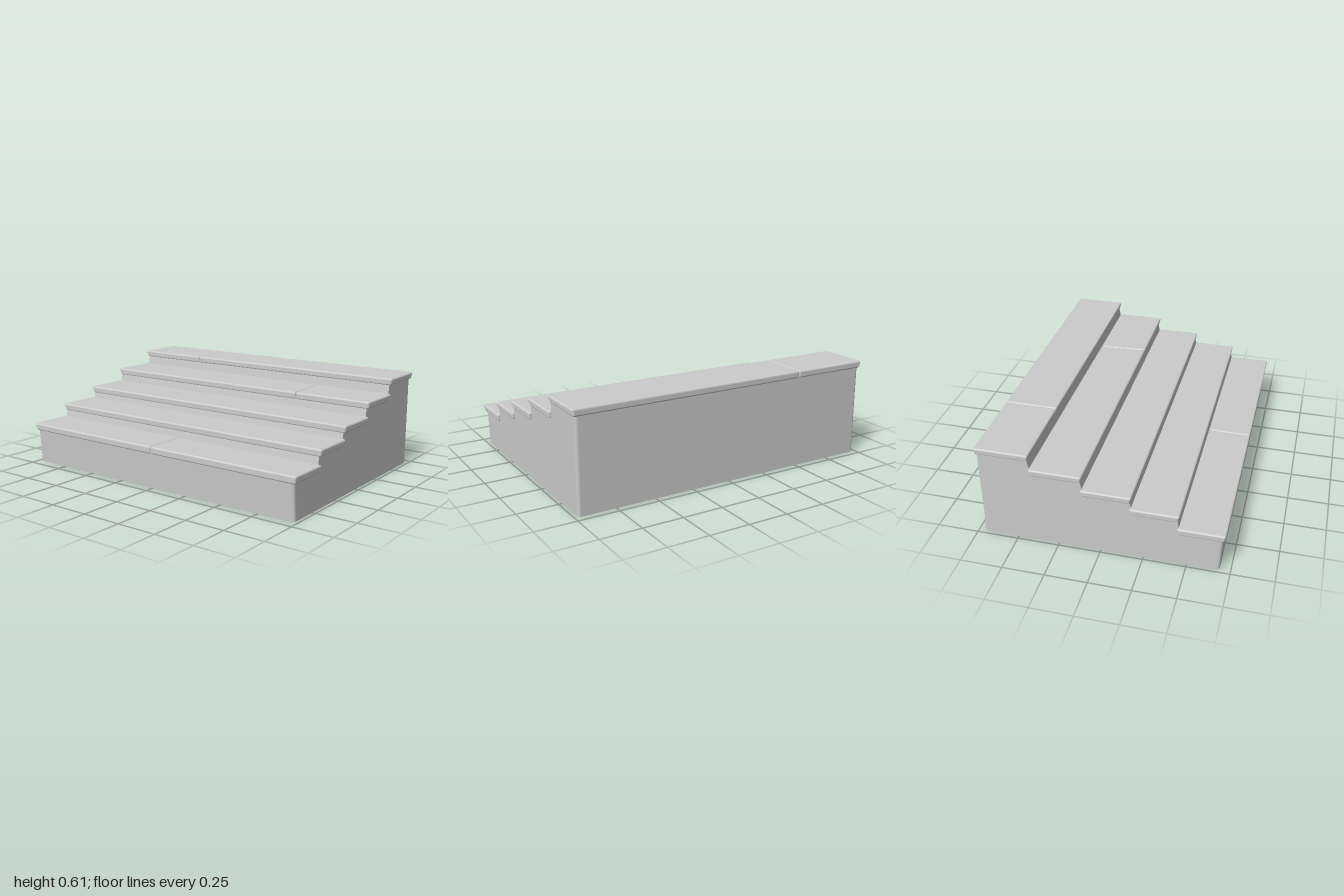
import * as THREE from 'three';
import { RoundedBoxGeometry } from 'three/addons/geometries/RoundedBoxGeometry.js';

// Treads: x range, y range, z positions of joints between planks, joint skew
const TREADS = [
  { x: [-0.715, -0.44], y: [0.21, 0.26], joints: [0], skew: 0 },
  { x: [-0.455, -0.17], y: [0.298, 0.346], joints: [], skew: 0 },
  { x: [-0.185, 0.11], y: [0.375, 0.423], joints: [], skew: 0 },
  { x: [0.095, 0.405], y: [0.464, 0.512], joints: [0.485], skew: 0.02 },
  { x: [0.395, 0.715], y: [0.56, 0.606], joints: [-0.5], skew: 0 },
];
const HALF = 0.98; // half length of the base
const R = 0.02; // radius of its upright corners
const TAPER = 0.011; // inset of the tread undersides

const material = new THREE.MeshStandardMaterial({ color: 0xcccccc });
const shellMaterial = new THREE.MeshStandardMaterial({ color: 0xcccccc, side: THREE.DoubleSide });

// Height of the wall top, hidden inside each tread
const wallTop = (i) => (TREADS[i].y[0] + TREADS[i].y[1]) / 2;

// Plank with rounded edges, narrowing downwards on its free edges
function plank(tread, z0, z1) {
  const w = tread.x[1] - tread.x[0];
  const h = tread.y[1] - tread.y[0];
  const cz = (z0 + z1) / 2;
  const geometry = new RoundedBoxGeometry(w, h, z1 - z0, 3, 0.012);
  const p = geometry.attributes.position;
  const last = tread === TREADS[TREADS.length - 1];
  for (let i = 0; i < p.count; i++) {
    const x = p.getX(i), y = p.getY(i), z = p.getZ(i);
    const inset = TAPER * (0.5 - y / h);
    if (!(last && x > 0)) p.setX(i, x - Math.sign(x) * inset);
    const atEnd = Math.abs(cz + Math.sign(z) * (z1 - z0) / 2) > 0.9;
    p.setZ(i, atEnd ? z - Math.sign(z) * inset : z - tread.skew * x / w);
  }
  const mesh = new THREE.Mesh(geometry, material);
  mesh.position.set((tread.x[0] + tread.x[1]) / 2, (tread.y[0] + tread.y[1]) / 2, cz);
  mesh.name = 'treadPlank';
  return mesh;
}

// Indexed surface from a list of [bottom, top] columns
function ribbon(columns, closed) {
  const n = columns.length;
  const index = [];
  for (let i = 0; i < (closed ? n : n - 1); i++) {
    const a = 2 * i, b = 2 * ((i + 1) % n);
    index.push(a, b, a + 1, b, b + 1, a + 1);
  }
  const geometry = new THREE.BufferGeometry();
  geometry.setAttribute('position', new THREE.Float32BufferAttribute(columns.flat(2), 3));
  geometry.setIndex(index);
  geometry.computeVertexNormals();
  return geometry;
}

// Hollow base: outer walls follow the stairs, open below
function baseWalls() {
  const half = [];
  const add = (xb, xt, z, h) => half.push([[xb, 0, z], [xt, h, z]]);
  const steps = 5;
  for (let i = 0; i <= steps; i++) {
    const a = (i / steps) * Math.PI / 2;
    const x = -0.668 - R * Math.cos(a);
    add(x, x - 0.014, HALF - R + R * Math.sin(a), wallTop(0));
  }
  for (let i = 1; i < TREADS.length; i++) {
    const x = TREADS[i].x[0];
    add(x + 0.005, x + 0.001, HALF, wallTop(i - 1));
    add(x + 0.005, x + 0.016, HALF, wallTop(i));
  }
  for (let i = 0; i <= steps; i++) {
    const a = (i / steps) * Math.PI / 2;
    const x = 0.71 - R + R * Math.sin(a);
    add(x, x, HALF - R + R * Math.cos(a), wallTop(4));
  }
  const mirrored = half.map((c) => c.map(([x, y, z]) => [x, y, -z])).reverse();
  return ribbon([...half, ...mirrored], true);
}

export function createModel() {
  const model = new THREE.Group();
  model.name = 'steppedPlatform';

  const walls = new THREE.Mesh(baseWalls(), shellMaterial);
  walls.name = 'baseWalls';
  model.add(walls);

  TREADS.forEach((tread, i) => {
    const step = new THREE.Group();
    step.name = 'step' + (i + 1);
    // Planks, split at the joints
    const cuts = [-1, ...tread.joints, 1];
    for (let k = 0; k + 1 < cuts.length; k++) step.add(plank(tread, cuts[k], cuts[k + 1]));
    // Leaning riser below the tread's front edge
    if (i > 0) {
      const x = tread.x[0];
      const column = (z) => [[x + 0.001, wallTop(i - 1), z], [x + 0.016, wallTop(i), z]];
      const riser = new THREE.Mesh(ribbon([column(-HALF), column(HALF)], false), shellMaterial);
      riser.name = 'riser';
      step.add(riser);
    }
    model.add(step);
  });
  return model;
}
